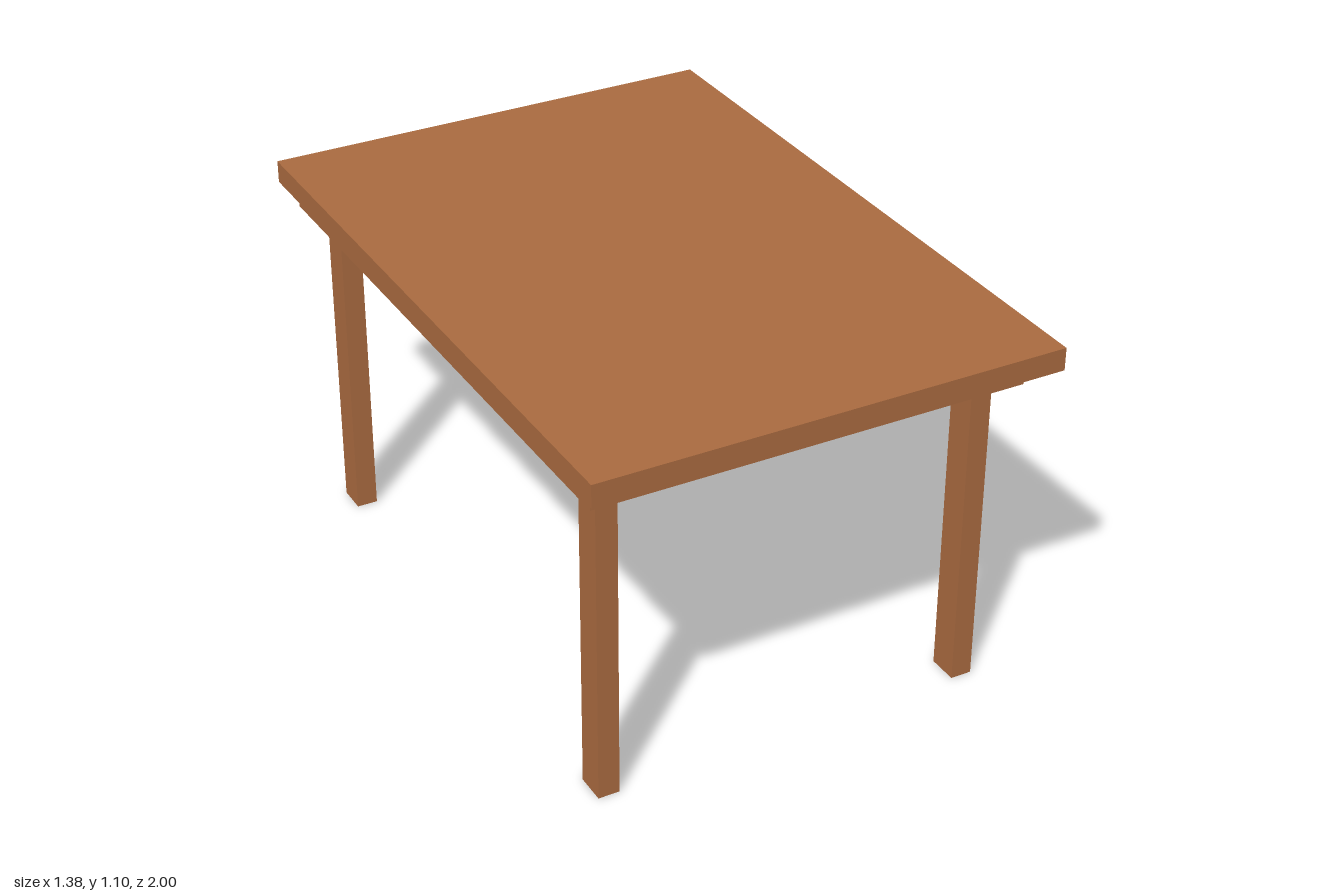
import * as THREE from 'three';

export function createModel() {
  const wood = new THREE.MeshStandardMaterial({ color: 0xaa6b40 });
  wood.name = 'brown wood';
  const table = new THREE.Group();
  table.name = 'table';

  // Box given by its lower and upper limits on each axis
  const addBox = (name, [x0, x1], [y0, y1], [z0, z1]) => {
    const geometry = new THREE.BoxGeometry(x1 - x0, y1 - y0, z1 - z0);
    const mesh = new THREE.Mesh(geometry, wood);
    mesh.name = name;
    mesh.position.set((x0 + x1) / 2, (y0 + y1) / 2, (z0 + z1) / 2);
    table.add(mesh);
  };

  const topUnderside = 1.031;
  const railY = [0.965, topUnderside];
  addBox('tabletop', [-0.692, 0.692], [topUnderside, 1.098], [-1, 1]);

  // Long side rails, with the end rails fitted between them
  addBox('rightRail', [-0.653, -0.589], railY, [-0.947, 0.917]);
  addBox('leftRail', [0.563, 0.627], railY, [-0.947, 0.917]);
  addBox('frontRail', [-0.589, 0.563], railY, [0.825, 0.917]);
  addBox('backRail', [-0.589, 0.563], railY, [-0.947, -0.855]);

  // Legs run up inside the rails to the tabletop
  const legX = { Right: [-0.603, -0.54], Left: [0.515, 0.578] };
  const legZ = { front: [0.754, 0.845], back: [-0.853, -0.762] };
  for (const [end, z] of Object.entries(legZ)) {
    for (const [side, x] of Object.entries(legX)) {
      addBox(`${end}${side}Leg`, x, [0, topUnderside], z);
    }
  }
  return table;
}
